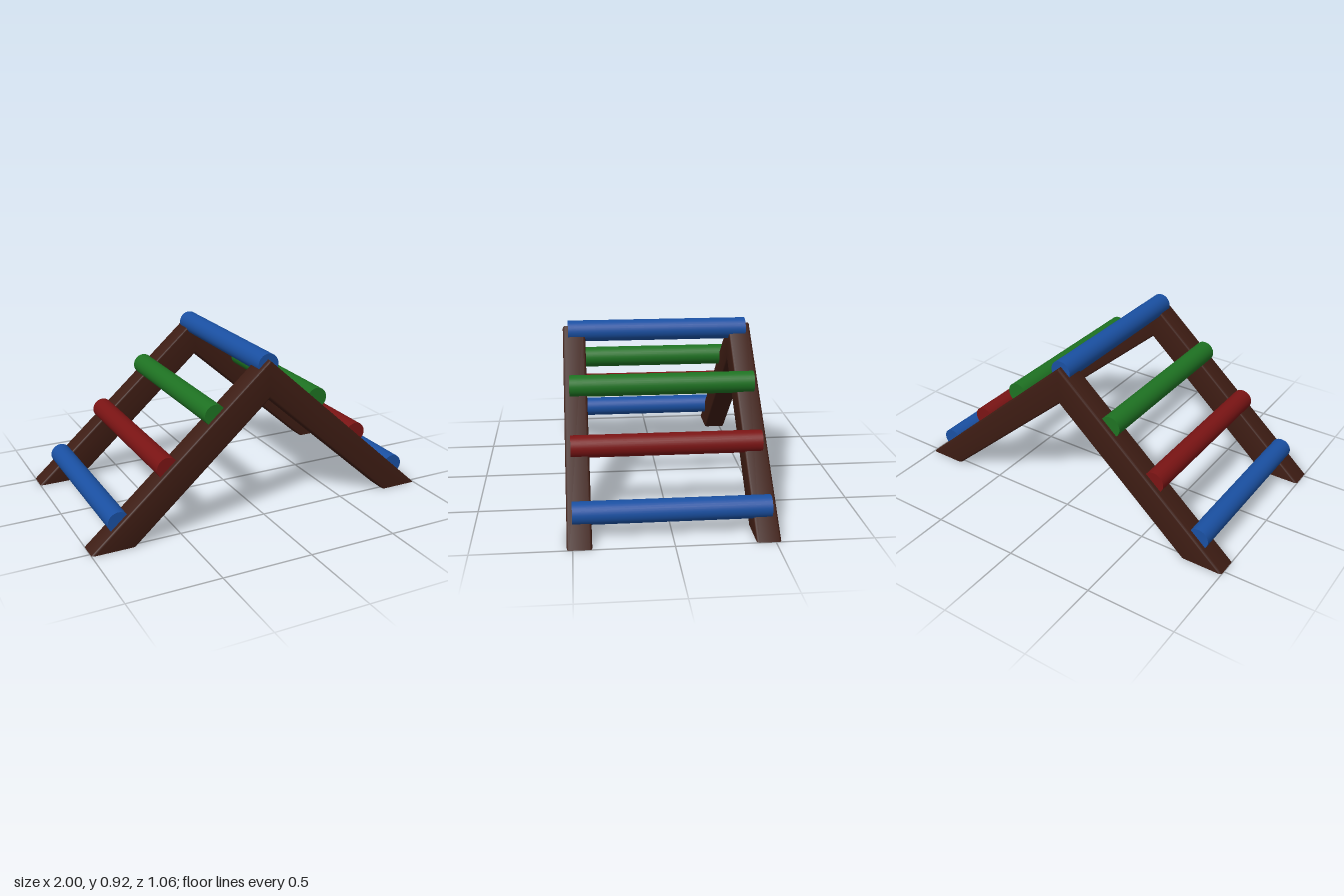
import * as THREE from 'three';
import { toCreasedNormals } from 'three/addons/utils/BufferGeometryUtils.js';

const material = (color) => new THREE.MeshStandardMaterial({ color });

// Rounded-rectangle section: z is the width, v runs from the inner (-1) to the outer (+1) edge
function railSection(halfWidth, roundZ, roundV, steps = 3) {
  const points = [];
  for (let corner = 0; corner < 4; corner++) {
    const signZ = corner < 2 ? 1 : -1;
    const signV = corner === 0 || corner === 3 ? 1 : -1;
    for (let k = 0; k <= steps; k++) {
      const t = (corner + k / steps) * Math.PI / 2;
      points.push({
        z: signZ * (halfWidth - roundZ) + roundZ * Math.sin(t),
        v: signV * (1 - roundV) + roundV * Math.cos(t),
      });
    }
  }
  return points;
}

// Bent rail: the section is lofted from one mitred foot over the apex to the other foot
function railGeometry() {
  const stations = [
    { outer: [-1, 0], inner: [-0.76, 0] },
    { outer: [0.01, 0.89], inner: [0.01, 0.68] },
    { outer: [1, 0], inner: [0.78, 0] },
  ];
  const section = railSection(0.062, 0.012, 0.15);
  const n = section.length;
  const positions = [];
  const index = [];
  for (const { outer, inner } of stations) {
    for (const { z, v } of section) {
      const f = (v + 1) / 2;
      positions.push(
        THREE.MathUtils.lerp(inner[0], outer[0], f),
        THREE.MathUtils.lerp(inner[1], outer[1], f),
        z
      );
    }
  }
  for (let s = 0; s < stations.length - 1; s++) {
    for (let i = 0; i < n; i++) {
      const j = (i + 1) % n;
      const a = s * n + i, b = a + n, c = (s + 1) * n + j, d = s * n + j;
      index.push(a, d, c, a, c, b);
    }
  }
  // Flat feet
  const last = (stations.length - 1) * n;
  for (let i = 1; i < n - 1; i++) {
    index.push(0, i + 1, i, last, last + i, last + i + 1);
  }
  const geometry = new THREE.BufferGeometry();
  geometry.setAttribute('position', new THREE.Float32BufferAttribute(positions, 3));
  geometry.setIndex(index);
  return toCreasedNormals(geometry, 0.7);
}

export function createModel() {
  const model = new THREE.Group();
  model.name = 'climbingLadder';

  // Two rails
  const wood = material(0x3d1c13);
  const rail = railGeometry();
  for (const [name, z] of [['frontRail', 0.467], ['backRail', -0.467]]) {
    const mesh = new THREE.Mesh(rail, wood);
    mesh.name = name;
    mesh.position.z = z;
    model.add(mesh);
  }

  // Round rungs resting in the upper edges of the rails
  const blue = material(0x1a50a2);
  const red = material(0x7a1414);
  const green = material(0x1e7222);
  const rungGeometry = new THREE.CylinderGeometry(0.059, 0.059, 1, 32).rotateX(Math.PI / 2);
  const rungs = [
    ['rightLowRung', -0.84, 0.142, blue],
    ['rightMiddleRung', -0.565, 0.387, red],
    ['rightHighRung', -0.295, 0.63, green],
    ['topRung', 0.013, 0.861, blue],
    ['leftHighRung', 0.317, 0.628, green],
    ['leftMiddleRung', 0.58, 0.38, red],
    ['leftLowRung', 0.855, 0.13, blue],
  ];
  for (const [name, x, y, paint] of rungs) {
    const rung = new THREE.Mesh(rungGeometry, paint);
    rung.name = name;
    rung.position.set(x, y, 0);
    model.add(rung);
  }
  return model;
}
